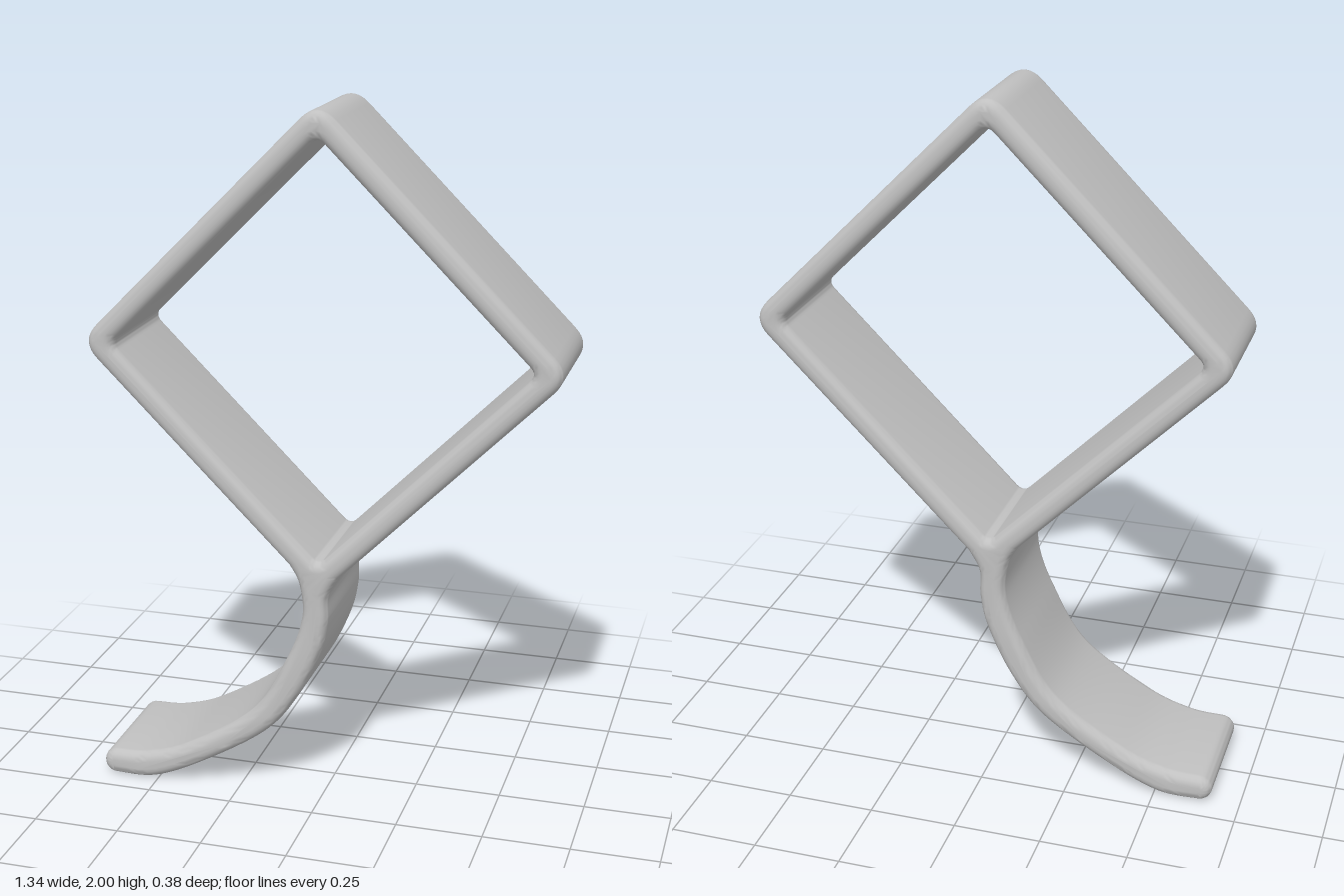
import * as THREE from 'three';
import { toCreasedNormals } from 'three/addons/utils/BufferGeometryUtils.js';

const CY = 1.333;      // height of the diamond's centre
const OUTER = 0.692;   // centre to sharp outer corner
const INNER = 0.598;   // centre to sharp inner corner
const DEPTH = 0.38;
const BEVEL = 0.028;

// Adds one rounded diamond corner, counter-clockwise, pointing along (dx, dy)
function corner(path, size, cut, dx, dy) {
  const at = (along, side) => [
    dx * along - dy * side,
    CY + dy * along + dx * side,
  ];
  path.lineTo(...at(size - cut, -cut));
  path.quadraticCurveTo(...at(size, 0), ...at(size - cut, cut));
}

const points = (list) => list.map(([x, y]) => new THREE.Vector2(x, y));

export function createModel() {
  const group = new THREE.Group();
  group.name = 'diamondHook';
  const grey = new THREE.MeshStandardMaterial({ color: 0xc0c0c0 });
  grey.name = 'grey';

  // Outer outline: diamond frame running into the curved tail
  const outline = new THREE.Shape();
  outline.moveTo(0.06, CY - OUTER + 0.06);
  corner(outline, OUTER, 0.05, 1, 0);
  corner(outline, OUTER, 0.05, 0, 1);
  corner(outline, OUTER, 0.05, -1, 0);
  outline.lineTo(-0.085, CY - OUTER + 0.085);

  // Inner side of the tail, round the tip, and back up its outer side
  outline.splineThru(points([
    [-0.057, 0.67], [-0.05, 0.57], [-0.095, 0.44], [-0.2, 0.265],
    [-0.4, 0.13], [-0.53, 0.083], [-0.63, 0.076],
  ]));
  outline.absarc(-0.63, 0.038, 0.038, Math.PI / 2, Math.PI * 1.5, false);
  outline.splineThru(points([
    [-0.51, 0.005], [-0.36, 0.072], [-0.165, 0.197], [-0.065, 0.32],
    [0.003, 0.46], [0.026, 0.56], [0.028, 0.64], [0.06, CY - OUTER + 0.06],
  ]));

  // Diamond opening
  const opening = new THREE.Path();
  opening.moveTo(INNER - 0.02, CY + 0.02);
  corner(opening, INNER, 0.02, 0, 1);
  corner(opening, INNER, 0.02, -1, 0);
  corner(opening, INNER, 0.02, 0, -1);
  corner(opening, INNER, 0.02, 1, 0);
  outline.holes.push(opening);

  // Rounded-edge extrusion, centred front to back
  const extruded = new THREE.ExtrudeGeometry(outline, {
    depth: DEPTH - 2 * BEVEL,
    curveSegments: 8,
    bevelEnabled: true,
    bevelSize: BEVEL,
    bevelThickness: BEVEL,
    bevelOffset: -BEVEL,
    bevelSegments: 5,
  });
  extruded.translate(0, 0, BEVEL - DEPTH / 2);
  extruded.deleteAttribute('uv');
  extruded.clearGroups();

  const frame = new THREE.Mesh(toCreasedNormals(extruded, 0.7), grey);
  frame.name = 'frameAndTail';
  group.add(frame);
  return group;
}
